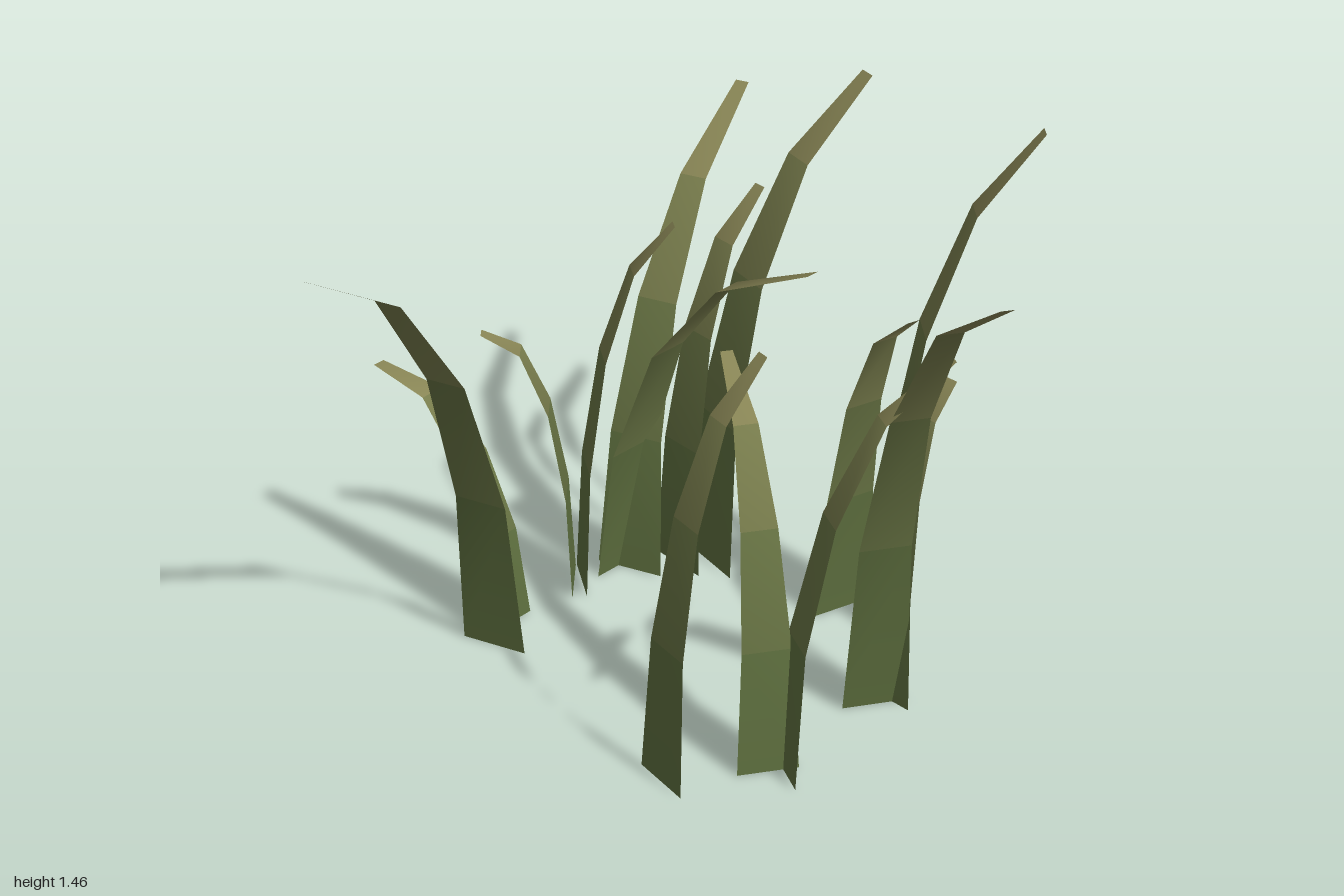
import * as THREE from 'three';

const SEGMENTS = 4;
const DROOP = 0.385;

// Shades from the root to the tip
const root = new THREE.Color(0x5d6e3e);
const tip = new THREE.Color(0x888555);
const shades = Array.from({ length: SEGMENTS }, (_, i) =>
  new THREE.MeshStandardMaterial({
    color: root.clone().lerp(tip, (i / (SEGMENTS - 1)) ** 1.5),
    side: THREE.DoubleSide,
  }));

// Flat tapering strip that leans from its root (x, z) towards its drooping tip
function makeBlade([x, z, tipX, tipZ, height, width]) {
  const lean = new THREE.Vector2(tipX - x, tipZ - z);
  const side = new THREE.Vector2(lean.y, -lean.x).normalize();
  const points = [];
  const index = [];
  const geometry = new THREE.BufferGeometry();
  for (let i = 0; i <= SEGMENTS; i++) {
    const t = i / SEGMENTS;
    const y = (height + DROOP) * t - DROOP * t ** 3;
    const half = (width / 2) * (1 - 0.8 * t);
    for (const s of [-half, half]) {
      points.push(x + lean.x * t * t + side.x * s, y, z + lean.y * t * t + side.y * s);
    }
    if (i < SEGMENTS) {
      const a = i * 2;
      index.push(a, a + 1, a + 3, a, a + 3, a + 2);
      geometry.addGroup(i * 6, 6, i);
    }
  }
  geometry.setAttribute('position', new THREE.Float32BufferAttribute(points, 3));
  geometry.setIndex(index);
  geometry.computeVertexNormals();
  return new THREE.Mesh(geometry, shades);
}

export function createModel() {
  const group = new THREE.Group();
  group.name = 'grassTuft';

  // root x, root z, tip x, tip z, height, root width
  const blades = {
    backRight: [
      [-0.355, -0.325, -0.885, 0.175, 1.32, 0.165],
      [-0.30, -0.40, -0.50, -0.755, 0.57, 0.16],
    ],
    back: [
      [-0.09, -0.53, -0.287, -0.605, 0.69, 0.155],
      [0.058, -0.545, 0.505, -0.99, 1.053, 0.17],
      [0.177, -0.53, 0.418, -0.624, 0.955, 0.16],
      [0.252, -0.52, 0.685, -0.62, 1.21, 0.205],
      [0.053, -0.575, 0.33, -0.042, 1.02, 0.18],
      [-0.07, -0.53, 0.157, -0.497, 0.955, 0.15],
    ],
    left: [
      [0.55, -0.138, 0.89, -0.052, 1.282, 0.18],
      [0.492, -0.21, 0.547, 0.035, 0.9, 0.165],
      [0.44, 0.185, 0.616, 0.105, 0.775, 0.155],
    ],
    front: [
      [0.408, 0.205, 0.338, 1.0, 1.457, 0.155],
      [0.115, 0.397, 0.487, 0.408, 1.01, 0.142],
      [-0.162, 0.337, 0.097, 0.27, 1.02, 0.16],
      [0.08, 0.38, 0.12, -0.027, 0.87, 0.145],
    ],
  };

  for (const [place, list] of Object.entries(blades)) {
    const clump = new THREE.Group();
    clump.name = `${place}Clump`;
    list.forEach((data, i) => {
      const blade = makeBlade(data);
      blade.name = `${place}Blade${i + 1}`;
      clump.add(blade);
    });
    group.add(clump);
  }
  return group;
}
